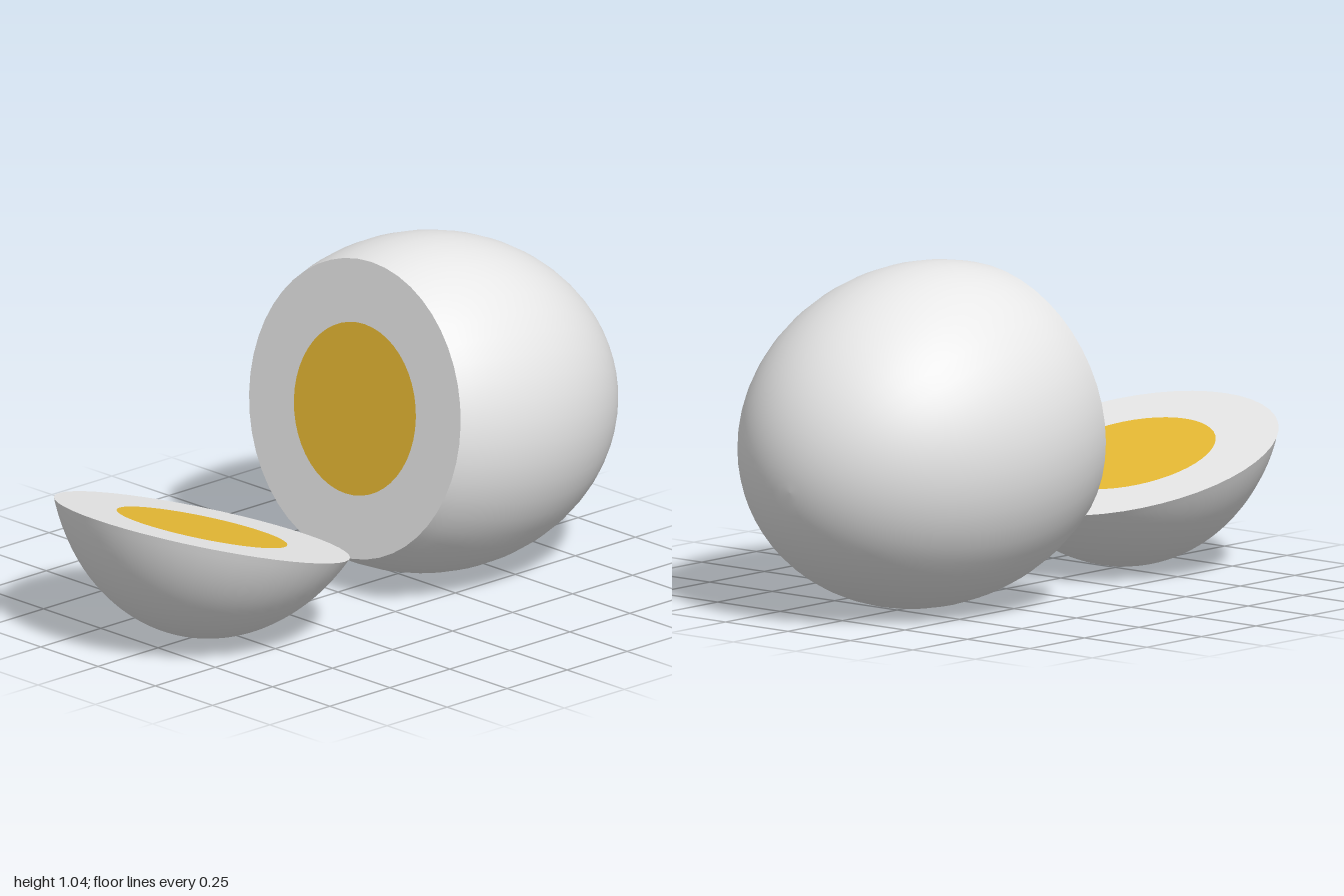
import * as THREE from 'three';

const SEGMENTS = 48;
const LENGTH = 0.633; // half length of the egg
const WIDTH = 0.518;  // half width of the egg
const CUT = 0.3;      // distance of the cut from the egg's middle
const YOLK = 0.263;

export function createModel() {
  const white = new THREE.MeshStandardMaterial({ color: 0xffffff });
  white.name = 'eggWhite';
  const yolk = new THREE.MeshStandardMaterial({ color: 0xffcd3a });
  yolk.name = 'yolkYellow';

  const rim = WIDTH * Math.sqrt(1 - (CUT / LENGTH) ** 2);

  function addMesh(group, name, geometry, material) {
    const mesh = new THREE.Mesh(geometry, material);
    mesh.name = name;
    group.add(mesh);
  }

  // A piece has its cut face at local y = 0 facing +y and its dome below;
  // middle is the height of the egg's middle relative to the cut.
  function eggPiece(name, middle, y, z, tilt) {
    const group = new THREE.Group();
    group.name = name;

    // Rounded outside, from the tip up to the rim
    const end = Math.acos(middle / LENGTH);
    const profile = [];
    for (let i = 0; i <= 28; i++) {
      const a = end * i / 28;
      profile.push(new THREE.Vector2(WIDTH * Math.sin(a), middle - LENGTH * Math.cos(a)));
    }
    addMesh(group, 'dome', new THREE.LatheGeometry(profile, SEGMENTS), white);

    // Flat cut face: white ring with the yolk flush in its middle
    addMesh(group, 'cutFace', new THREE.RingGeometry(YOLK, rim, SEGMENTS).rotateX(-Math.PI / 2), white);
    addMesh(group, 'yolk', new THREE.CircleGeometry(YOLK, SEGMENTS).rotateX(-Math.PI / 2), yolk);

    group.position.set(0, y, z);
    group.rotation.x = tilt;
    return group;
  }

  const model = new THREE.Group();
  model.name = 'slicedEgg';
  model.add(eggPiece('largePiece', -CUT, 0.567, -0.07, 1.415));
  model.add(eggPiece('smallPiece', CUT, 0.34, 0.567, -0.282));
  return model;
}
